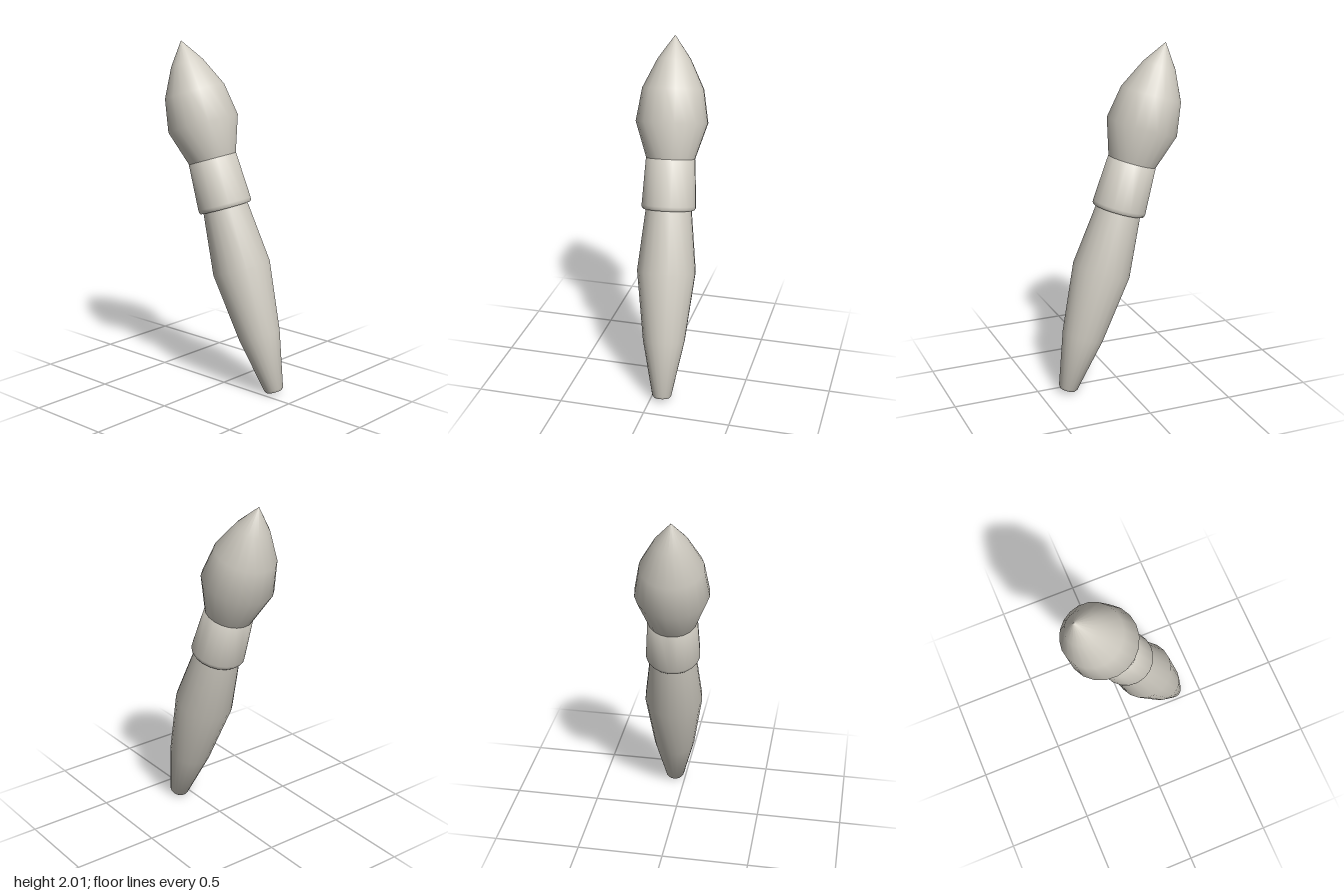
import * as THREE from 'three';
import { toCreasedNormals } from 'three/addons/utils/BufferGeometryUtils.js';

const SIDES = 20;

export function createModel() {
  const model = new THREE.Group();
  model.name = 'paintbrush';

  const clay = new THREE.MeshStandardMaterial({ color: 0xd0ccc2 });
  clay.name = 'warm grey';

  // Turned part from [radius, distance along the brush] pairs
  const turned = (name, profile) => {
    const points = profile.map(([r, s]) => new THREE.Vector2(r, s));
    const geometry = toCreasedNormals(new THREE.LatheGeometry(points, SIDES), 0.85);
    const mesh = new THREE.Mesh(geometry, clay);
    mesh.name = name;
    return mesh;
  };

  const brush = new THREE.Group();
  brush.name = 'brush';

  // Handle: narrow rounded foot, swelling belly, neck tucked into the ferrule
  brush.add(turned('handle', [
    [0, -0.012], [0.045, -0.01], [0.056, 0.004], [0.122, 0.33],
    [0.17, 0.737], [0.132, 1.1], [0.11, 1.24], [0, 1.24],
  ]));

  // Ferrule: tapered collar with a rolled, hollow lower rim
  brush.add(turned('ferrule', [
    [0, 1.24], [0.137, 1.24], [0.143, 1.105], [0.149, 1.095], [0.156, 1.105],
    [0.157, 1.12], [0.142, 1.385], [0.138, 1.39], [0, 1.39],
  ]));

  // Bristles: full bulb drawn to a point
  brush.add(turned('bristles', [
    [0, 1.38], [0.138, 1.38], [0.208, 1.595], [0.177, 1.785],
    [0.095, 1.953], [0, 2.087],
  ]));

  // Lean the whole brush along its axis
  const axis = new THREE.Vector3(-0.326, 1, 0.045).normalize();
  brush.quaternion.setFromUnitVectors(new THREE.Vector3(0, 1, 0), axis);
  brush.position.set(0.334, 0.022, -0.065);

  model.add(brush);
  return model;
}
